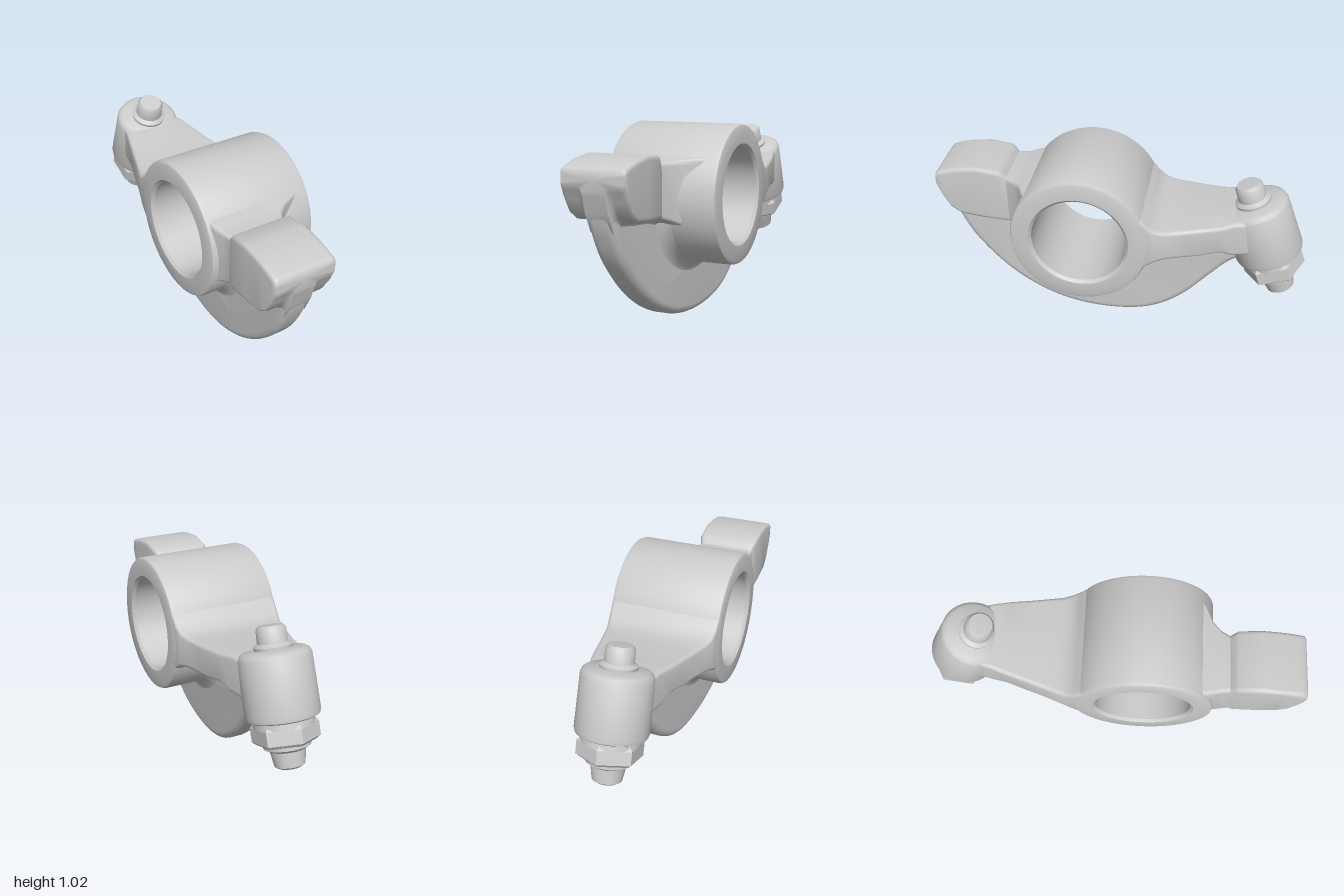
import * as THREE from 'three';
import { toCreasedNormals } from 'three/addons/utils/BufferGeometryUtils.js';

const HUB = { y: 0.66, z: 0.175, outer: 0.365, inner: 0.25 };
const material = new THREE.MeshStandardMaterial({ color: 0xcccccc, roughness: 0.7 });

// The web drifts sideways along the length of the lever
const webCentre = (z) => -0.031 - 0.068 * z;

function part(name, geometry, crease = 0.7) {
  const mesh = new THREE.Mesh(toCreasedNormals(geometry, crease), material);
  mesh.name = name;
  return mesh;
}

function lathe(points, segments = 48, ...range) {
  return new THREE.LatheGeometry(points.map(([r, y]) => new THREE.Vector2(r, y)), segments, ...range);
}

// Move vertices sideways to follow the drifting web
function shear(geometry) {
  const p = geometry.attributes.position;
  for (let i = 0; i < p.count; i++) p.setX(i, p.getX(i) + webCentre(p.getZ(i)));
  return geometry;
}

// Rounded bar cross-section whose underside flares into the web
function barSection([z, x0, x1, top, bottom, drop = 0.08]) {
  const c = (x0 + x1) / 2, w = webCentre(z), h = 0.06, f = 0.04, r = 0.025;
  const s = new THREE.Shape();
  s.moveTo(c, top);
  s.lineTo(x1 - r, top);
  s.quadraticCurveTo(x1, top, x1, top - r);
  s.lineTo(x1, bottom + r);
  s.quadraticCurveTo(x1, bottom, x1 - r, bottom);
  s.lineTo(w + h + f, bottom);
  s.quadraticCurveTo(w + h, bottom, w + h, bottom - drop);
  s.lineTo(w - h, bottom - drop);
  s.quadraticCurveTo(w - h, bottom, w - h - f, bottom);
  s.lineTo(x0 + r, bottom);
  s.quadraticCurveTo(x0, bottom, x0, bottom + r);
  s.lineTo(x0, top - r);
  s.quadraticCurveTo(x0, top, x0 + r, top);
  return s.getPoints(5).map((p) => [p.x, p.y, z]);
}

// Loft through sections listed from back to front, capped at both ends
function loft(rows) {
  const rings = rows.map(barSection), n = rings[0].length;
  const position = rings.flat(2), index = [];
  for (let k = 0; k < rings.length - 1; k++) {
    for (let i = 0; i < n; i++) {
      const a = k * n + i, b = k * n + (i + 1) % n;
      index.push(a, a + n, b, b, a + n, b + n);
    }
  }
  [0, rings.length - 1].forEach((k, end) => {
    const [z, x0, x1, top, bottom] = rows[k];
    const centre = position.length / 3;
    position.push((x0 + x1) / 2, (top + bottom) / 2, z);
    for (let i = 0; i < n; i++) {
      const a = k * n + i, b = k * n + (i + 1) % n;
      index.push(centre, end ? b : a, end ? a : b);
    }
  });
  const g = new THREE.BufferGeometry();
  g.setAttribute('position', new THREE.Float32BufferAttribute(position, 3));
  g.setIndex(index);
  return g;
}

function makeHub() {
  const { outer: R, inner: r } = HUB;
  const g = lathe([
    [r, -0.285], [r + 0.015, -0.3], [R - 0.02, -0.3], [R - 0.006, -0.294], [R, -0.28],
    [R, 0.28], [R - 0.006, 0.294], [R - 0.02, 0.3], [r + 0.015, 0.3], [r, 0.285], [r, -0.285],
  ], 64);
  g.rotateZ(-Math.PI / 2).translate(0, HUB.y, HUB.z);
  return part('hub', g);
}

// Concave blend between the lower half of the hub and the web
function makeHubFillet() {
  const side = [];
  for (let i = 0; i <= 6; i++) {
    const a = (i / 6) * Math.PI / 2;
    side.push([0.445 - 0.085 * Math.sin(a), 0.15 - 0.085 * Math.cos(a)]);
  }
  const profile = [...side.map(([r, y]) => [r, -y]).reverse(), ...side];
  const g = lathe(profile, 40, 0, Math.PI);
  g.rotateZ(-Math.PI / 2).translate(0, HUB.y, HUB.z);
  return part('hubFillet', shear(g));
}

// Crescent-shaped stiffening web under the lever
function makeWeb() {
  const edge = [
    [0.97, 0.68], [0.93, 0.55], [0.85, 0.4], [0.71, 0.24], [0.56, 0.125], [0.39, 0.045], [0.22, 0.008],
    [0.05, 0.005], [-0.11, 0.03], [-0.25, 0.09], [-0.38, 0.195], [-0.5, 0.335], [-0.6, 0.45], [-0.67, 0.5],
  ].map(([z, y]) => new THREE.Vector2(z, y));
  const s = new THREE.Shape();
  s.moveTo(0.985, 0.78);
  s.splineThru(edge);
  s.lineTo(-0.64, 0.66);
  s.lineTo(HUB.z - 0.31, HUB.y);
  s.absarc(HUB.z, HUB.y, 0.31, Math.PI, 2 * Math.PI, false);
  const bevel = 0.04, thickness = 0.14;
  const g = new THREE.ExtrudeGeometry(s, {
    depth: thickness - 2 * bevel, bevelThickness: bevel, bevelSize: bevel, bevelOffset: -bevel,
    bevelSegments: 5, curveSegments: 40,
  });
  g.translate(0, 0, bevel - thickness / 2).rotateY(-Math.PI / 2);
  return part('web', shear(g));
}

// Each row: z, right edge, left edge, top, bottom, flare depth
function makeRearArm() {
  return part('rearArm', loft([
    [-0.72, -0.14, 0.18, 0.8, 0.6],
    [-0.62, -0.165, 0.205, 0.8, 0.6],
    [-0.55, -0.185, 0.225, 0.785, 0.625],
    [-0.45, -0.215, 0.243, 0.772, 0.605],
    [-0.35, -0.245, 0.262, 0.762, 0.595],
    [-0.27, -0.272, 0.278, 0.755, 0.585],
    [-0.22, -0.288, 0.29, 0.765, 0.57],
    [-0.18, -0.295, 0.295, 0.795, 0.545],
    [-0.14, -0.297, 0.297, 0.84, 0.52],
    [-0.1, -0.29, 0.29, 0.87, 0.5],
  ]));
}

function makeFrontPad() {
  return part('frontPad', loft([
    [0.45, -0.285, 0.27, 0.88, 0.5],
    [0.49, -0.28, 0.2, 0.875, 0.52],
    [0.52, -0.272, 0.13, 0.868, 0.545],
    [0.56, -0.26, 0.085, 0.862, 0.565],
    [0.61, -0.252, 0.055, 0.862, 0.58],
    [0.63, -0.258, 0.06, 0.885, 0.585],
    [0.65, -0.265, 0.068, 0.9, 0.59],
    [0.77, -0.268, 0.07, 0.915, 0.6],
    [0.88, -0.268, 0.07, 0.902, 0.615],
    [0.93, -0.268, 0.07, 0.89, 0.65],
    [0.97, -0.268, 0.07, 0.878, 0.72, 0.06],
    [0.99, -0.268, 0.07, 0.87, 0.77, 0.03],
    [1.0, -0.262, 0.064, 0.858, 0.785, 0.02],
  ]));
}

// Tilted boss at the rear with an adjusting screw, measured down from the screw top
function makeAdjuster() {
  const group = new THREE.Group();
  group.name = 'adjuster';
  const boss = lathe([
    [0, -0.445], [0.165, -0.445], [0.178, -0.438], [0.183, -0.42],
    [0.178, -0.15], [0.17, -0.13], [0.15, -0.118], [0, -0.11],
  ]);
  const screw = lathe([
    [0, -0.687], [0.06, -0.687], [0.075, -0.677], [0.088, -0.6], [0.115, -0.585], [0.118, -0.55],
    [0.09, -0.54], [0.09, -0.13], [0.095, -0.1], [0.074, -0.085], [0.072, -0.02], [0.06, -0.004], [0, 0],
  ], 24);
  const washer = new THREE.CylinderGeometry(0.15, 0.15, 0.05, 32).translate(0, -0.455, 0);
  const nut = lathe([[0, -0.565], [0.145, -0.565], [0.165, -0.55], [0.165, -0.48], [0.15, -0.462], [0, -0.462]], 6);
  group.add(part('boss', boss), part('screw', screw), part('washer', washer), part('lockNut', nut, 0.4));
  group.position.set(0.02, 0.94, -0.665);
  group.rotation.x = 0.35;
  return group;
}

export function createModel() {
  const model = new THREE.Group();
  model.name = 'rockerArm';
  model.add(makeHub(), makeHubFillet(), makeWeb(), makeRearArm(), makeFrontPad(), makeAdjuster());
  return model;
}
